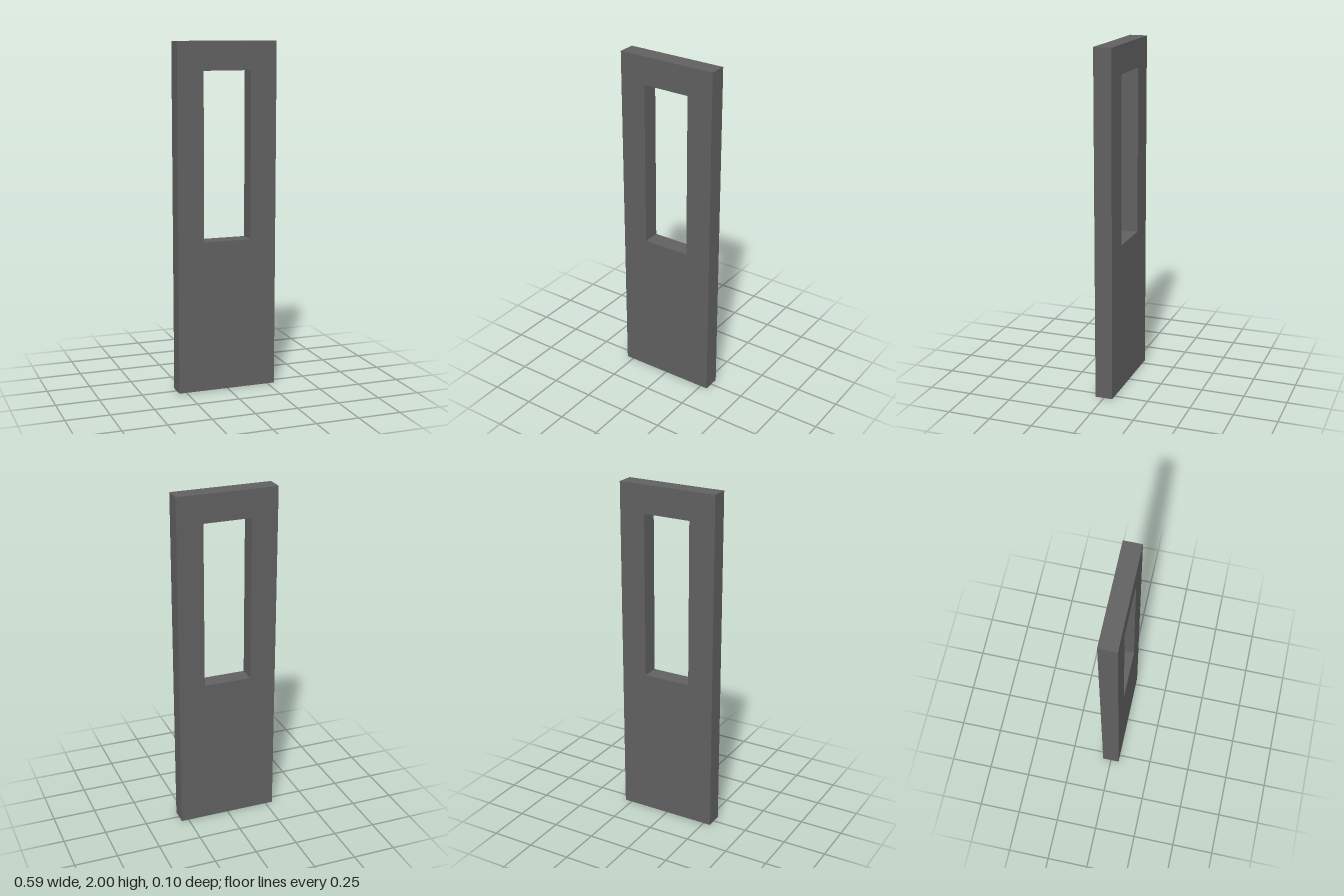
import * as THREE from 'three';

const WIDTH = 0.586, HEIGHT = 2, DEPTH = 0.102;
const WINDOW = { halfWidth: 0.14, bottom: 0.876, top: 1.838 };

// Corner points of an upright rectangle centred on x = 0
function rectangle(halfWidth, bottom, top) {
  return [
    new THREE.Vector2(-halfWidth, bottom),
    new THREE.Vector2(halfWidth, bottom),
    new THREE.Vector2(halfWidth, top),
    new THREE.Vector2(-halfWidth, top),
  ];
}

export function createModel() {
  const model = new THREE.Group();
  model.name = 'door';

  // Slab with a tall window opening cut right through
  const outline = new THREE.Shape(rectangle(WIDTH / 2, 0, HEIGHT));
  outline.holes.push(new THREE.Path(rectangle(WINDOW.halfWidth, WINDOW.bottom, WINDOW.top)));
  const geometry = new THREE.ExtrudeGeometry(outline, { depth: DEPTH, bevelEnabled: false });
  geometry.translate(0, 0, -DEPTH / 2);

  // Dark charcoal finish
  const panel = new THREE.Mesh(geometry, new THREE.MeshStandardMaterial({ color: 0x606060 }));
  panel.name = 'doorPanel';
  model.add(panel);
  return model;
}
